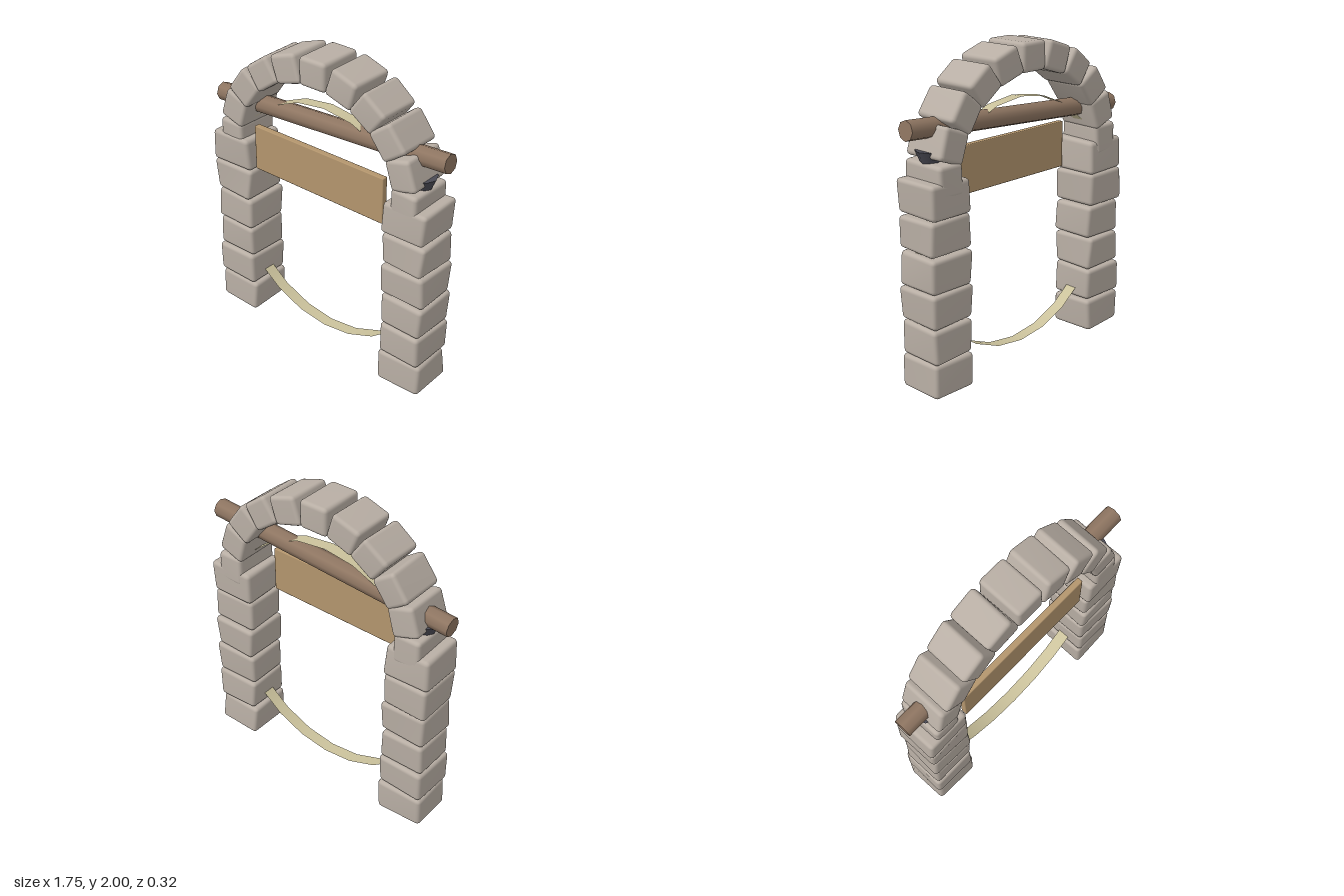
import * as THREE from 'three';
import { mergeVertices } from 'three/addons/utils/BufferGeometryUtils.js';
import { RoundedBoxGeometry } from 'three/addons/geometries/RoundedBoxGeometry.js';

const mat = (name, color, side = THREE.FrontSide) => {
  const m = new THREE.MeshStandardMaterial({ color, side });
  m.name = name;
  return m;
};

// Small seeded generator, returns -1..1
function seeded(seed) {
  let s = seed;
  return () => {
    s = (s * 16807) % 2147483647;
    return (s / 2147483647) * 2 - 1;
  };
}

// Rounded block whose eight corners are nudged, with soft shading
function stoneGeometry(w, h, d, jitter, rand) {
  let g = new RoundedBoxGeometry(w, h, d, 2, 0.026);
  const corners = Array.from({ length: 8 }, () =>
    new THREE.Vector3(rand(), rand() * 0.5, rand()).multiplyScalar(jitter));
  const p = g.attributes.position;
  const v = new THREE.Vector3();
  for (let i = 0; i < p.count; i++) {
    v.fromBufferAttribute(p, i);
    const t = [v.x / w + 0.5, v.y / h + 0.5, v.z / d + 0.5];
    corners.forEach((c, k) => {
      const weight = [1, 2, 4].reduce((a, bit, axis) => a * (k & bit ? t[axis] : 1 - t[axis]), 1);
      v.addScaledVector(c, weight);
    });
    p.setXYZ(i, v.x, v.y, v.z);
  }
  g.deleteAttribute('uv');
  g.deleteAttribute('normal');
  g = mergeVertices(g, 1e-5);
  g.computeVertexNormals();
  return g;
}

export function createModel() {
  const model = new THREE.Group();
  model.name = 'stoneArch';
  const stone = mat('stone', 0xb8aea4);
  const logWood = mat('logWood', 0x8f7662);
  const plankWood = mat('plankWood', 0xb3956d);
  const iron = mat('darkIron', 0x4a4a54);
  const band = mat('paleBand', 0xcbc29c, THREE.DoubleSide);
  const rand = seeded(4211);

  const add = (name, geometry, material, x, y, z, rotZ = 0, parent = model) => {
    const m = new THREE.Mesh(geometry, material);
    m.name = name;
    m.position.set(x, y, z);
    m.rotation.z = rotZ;
    parent.add(m);
    return m;
  };

  // Two pillars of six blocks, each with a dark bracket near the top
  for (const side of [-1, 1]) {
    const pillar = new THREE.Group();
    pillar.name = side > 0 ? 'leftPillar' : 'rightPillar';
    model.add(pillar);
    for (let i = 0; i < 6; i++) {
      add('pillarStone', stoneGeometry(0.3, 0.209, 0.3, 0.012, rand), stone,
        side * 0.675, 0.108 + i * 0.2165, 0, 0, pillar);
    }
    add('bracket', new THREE.CylinderGeometry(0.088, 0.045, 0.1, 8), iron, side * 0.695, 1.408, 0, 0, pillar);
  }

  // Arch stones along a slightly flattened half circle
  const arch = new THREE.Group();
  arch.name = 'arch';
  model.add(arch);
  for (let i = -5; i <= 5; i++) {
    const a = i * Math.PI / 10;
    add('archStone', stoneGeometry(0.195, 0.18, 0.3, i ? 0.006 : 0, rand), stone,
      Math.sin(a) * 0.67, 1.3 + Math.cos(a) * 0.61, 0, -a, arch);
  }

  // Crooked log pushed through the arch
  add('log', new THREE.CylinderGeometry(0.06, 0.06, 1.745, 8), logWood, 0, 1.543, 0, -Math.PI / 2 + 0.06);

  // Sign board between the pillars
  add('signBoard', new RoundedBoxGeometry(1, 0.3, 0.04, 1, 0.006), plankWood, 0, 1.258, 0.09);

  // Thin open hoop running through pillars and opening
  const hoop = new THREE.CylinderGeometry(0.79, 0.79, 0.08, 24, 1, true);
  hoop.rotateX(Math.PI / 2);
  add('hoop', hoop, band, 0, 0.87, 0);

  return model;
}
